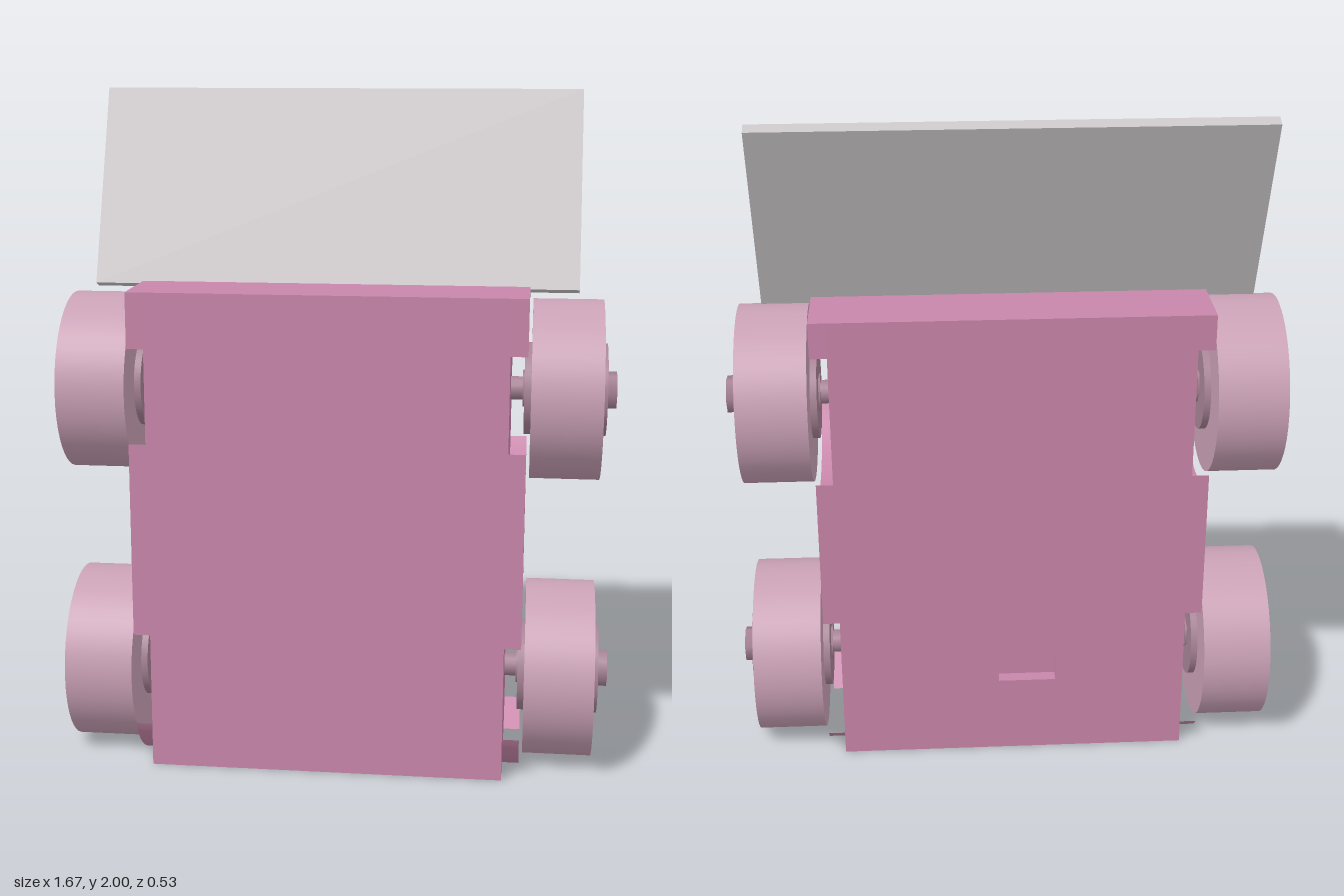
import * as THREE from 'three';

const mat = (name, color) => {
  const m = new THREE.MeshStandardMaterial({ color });
  m.name = name;
  return m;
};

export function createModel() {
  const pink = mat('body pink', 0xc886aa);
  const pale = mat('wheel pale pink', 0xcaa1b6);
  const mauve = mat('hub mauve', 0xa88496);
  const grey = mat('panel grey', 0xcbc6c8);

  const root = new THREE.Group();
  const add = (parent, name, geometry, material, x = 0, y = 0, z = 0) => {
    const mesh = new THREE.Mesh(geometry, material);
    mesh.name = name;
    mesh.position.set(x, y, z);
    parent.add(mesh);
    return mesh;
  };
  const extrude = (shape, depth) =>
    new THREE.ExtrudeGeometry(shape, { depth, bevelEnabled: false, curveSegments: 32 });

  const H = 1.44, FRONT = 0.265, BACK = -0.225;   // body extents
  const CORE = 0.525, POCKET = 0.05, SLOT = 0.04; // core half width, recess depths
  const R = 0.3, LOW = 0.27, HIGH = 1.135;        // wheel pocket radius, axle heights

  // Body core, with a back plate holding the port slot
  const body = new THREE.Group();
  body.name = 'body';
  root.add(body);
  const coreDepth = FRONT - BACK - SLOT;
  add(body, 'core', new THREE.BoxGeometry(CORE * 2, H, coreDepth), pink, 0, H / 2, FRONT - coreDepth / 2);
  const plate = new THREE.Shape();
  plate.moveTo(-CORE, 0).lineTo(CORE, 0).lineTo(CORE, H).lineTo(-CORE, H).closePath();
  const slot = new THREE.Path();
  slot.moveTo(-0.13, 0.245).lineTo(-0.13, 0.325).lineTo(0.045, 0.325).lineTo(0.045, 0.245).closePath();
  plate.holes.push(slot);
  add(body, 'backPlate', extrude(plate, SLOT), pink, 0, 0, BACK);

  // Side walls left standing around the round wheel pockets (shape x = -z)
  const uF = -FRONT, uB = -BACK;
  const angle = (u) => Math.acos(u / R);
  const floorU = Math.sqrt(R * R - LOW * LOW);
  const middle = new THREE.Shape();
  middle.absarc(0, LOW, R, angle(uB), angle(uF), false);
  middle.absarc(0, HIGH, R, -angle(uF), -angle(uB), false);
  middle.closePath();
  const top = new THREE.Shape();
  top.absarc(0, HIGH, R, angle(uB), angle(uF), false);
  top.lineTo(uF, H).lineTo(uB, H).closePath();
  const frontCorner = new THREE.Shape();
  frontCorner.moveTo(uF, 0);
  frontCorner.absarc(0, LOW, R, -angle(uF), -angle(-floorU), false);
  frontCorner.closePath();
  const backCorner = new THREE.Shape();
  backCorner.moveTo(uB, 0);
  backCorner.absarc(0, LOW, R, -angle(uB), -angle(floorU), true);
  backCorner.closePath();
  const walls = extrude([middle, top, frontCorner, backCorner], POCKET);
  for (const x of [CORE, -CORE - POCKET]) {
    add(body, 'sideWall', walls, pink, x).rotation.y = Math.PI / 2;
  }

  // Cylinder along x between two distances from the centre
  const axial = (r, x0, x1, sides, spin = 0) =>
    new THREE.CylinderGeometry(r, r, x1 - x0, sides).rotateY(spin)
      .rotateZ(-Math.PI / 2).translate((x0 + x1) / 2, 0, 0);

  // Four wheels, each with a hub and a six-sided axle
  for (const y of [LOW, HIGH]) {
    for (const side of [1, -1]) {
      const wheel = new THREE.Group();
      wheel.name = side > 0 ? 'leftWheel' : 'rightWheel';
      wheel.position.y = y === LOW ? 0.268 : y;
      wheel.rotation.y = side > 0 ? 0 : Math.PI;
      root.add(wheel);
      add(wheel, 'tyre', axial(0.266, 0.585, 0.79, 48), pale);
      add(wheel, 'hub', axial(0.137, 0.565, 0.805, 40), mauve);
      add(wheel, 'axle', axial(0.056, 0.56, 0.835, 6, y === LOW ? 0.35 : 0.1), mauve);
      add(wheel, 'shaft', axial(0.035, 0.52, 0.57, 16), mauve);
    }
  }

  // Flat panel leaning back from the top
  const panel = add(root, 'tiltedPanel', new THREE.BoxGeometry(1.436, 0.612, 0.036), grey, 0, 1.71, -0.105);
  panel.rotation.x = -THREE.MathUtils.degToRad(22);

  return root;
}
